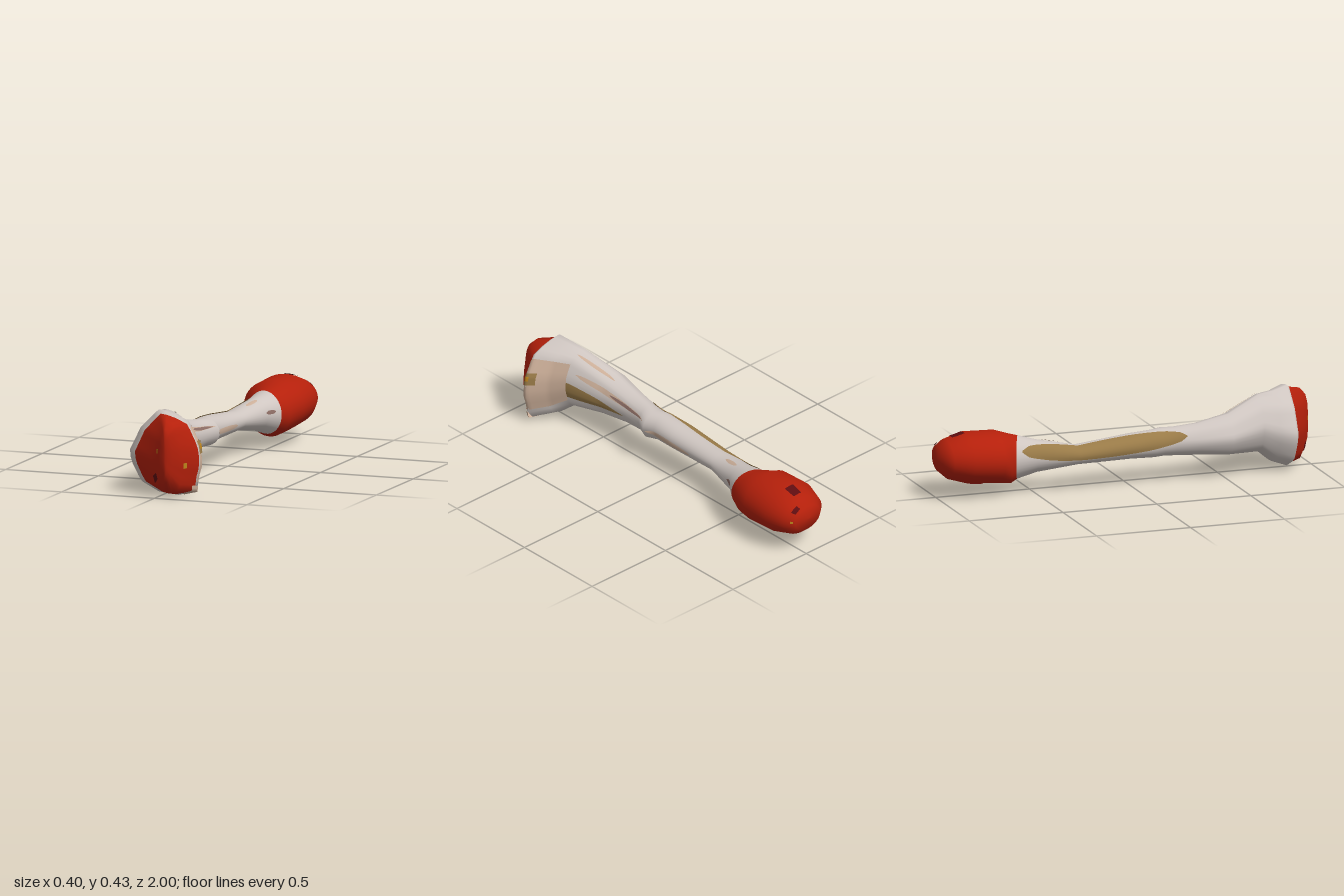
import * as THREE from 'three';

const mat = (name, color, side = THREE.FrontSide) => {
  const m = new THREE.MeshStandardMaterial({ color, side });
  m.name = name;
  return m;
};

// Cross-sections from back to front: z, xMin, xMax, yMin, yMax, slant, angular weight
const KNOB = [
  [-1, -0.02, -0.02, 0.2, 0.2, 0, 0],
  [-0.995, -0.1, 0.07, 0.14, 0.27, 0, 0],
  [-0.95, -0.15, 0.11, 0.1, 0.3, 0, 0],
  [-0.85, -0.185, 0.14, 0.07, 0.33, 0, 0],
  [-0.69, -0.185, 0.14, 0.06, 0.325, 0, 0],
  [-0.615, -0.15, 0.105, 0.05, 0.3, 0.2, 0],
  [-0.575, -0.132, 0.08, 0.07, 0.289, 0.4, 0],
];
const SHAFT = [
  KNOB[KNOB.length - 1],
  [-0.48, -0.12, 0.035, 0.1, 0.265, 0.2, 0],
  [-0.28, -0.15, -0.01, 0.132, 0.23, 0, 0],
  [0, -0.155, 0.005, 0.135, 0.26, 0, 0],
  [0.13, -0.145, 0, 0.13, 0.27, 0, 0],
  [0.18, -0.14, 0.028, 0.13, 0.272, 0, 0],
  [0.24, -0.14, 0, 0.13, 0.275, 0, 0],
  [0.36, -0.165, -0.005, 0.125, 0.29, 0, 0.4],
  [0.52, -0.2, 0.012, 0.113, 0.33, 0, 0.8],
  [0.7, -0.155, 0.07, 0.1, 0.405, 0, 0.8],
  [0.78, -0.175, 0.12, 0.035, 0.415, 0, 0.9],
  [0.86, -0.195, 0.2, 0, 0.433, 0, 1],
  [0.878, -0.16, 0.192, 0.008, 0.415, 0, 1],
];
const CAP = [
  SHAFT[SHAFT.length - 1],
  [0.95, -0.04, 0.13, 0.018, 0.395, 0, 0.8],
  [0.985, 0.015, 0.09, 0.08, 0.355, 0, 0.5],
  [0.998, 0.04, 0.07, 0.12, 0.31, 0, 0.3],
  [1, 0.055, 0.055, 0.18, 0.24, 0, 0],
];
const ALL = [...KNOB, ...SHAFT.slice(1), ...CAP.slice(1)];

// Uneven outline of the front head, turned into radius by angle
const HEAD = [
  [0.2, 0.2], [0.19, 0.265], [0.13, 0.38], [0.06, 0.41], [-0.03, 0.433], [-0.13, 0.335], [-0.195, 0.205],
  [-0.175, 0.145], [-0.13, 0.06], [-0.03, 0.01], [0.07, 0], [0.175, 0.025], [0.18, 0.09], [0.2, 0.155],
].map(([x, y]) => {
  const u = x / 0.198, v = (y - 0.2165) / 0.2165;
  return [(Math.atan2(v, u) + Math.PI * 2) % (Math.PI * 2), Math.hypot(u, v)];
}).sort((a, b) => a[0] - b[0]);

function headRadius(angle) {
  const full = Math.PI * 2;
  const a = ((angle % full) + full) % full;
  const n = HEAD.length;
  for (let i = 0; i <= n; i++) {
    const [pa, pr] = i === 0 ? [HEAD[n - 1][0] - full, HEAD[n - 1][1]] : HEAD[i - 1];
    const [qa, qr] = i === n ? [HEAD[0][0] + full, HEAD[0][1]] : HEAD[i];
    if (a >= pa && a <= qa) return pr * qr * Math.sin(qa - pa) / (pr * Math.sin(a - pa) + qr * Math.sin(qa - a));
  }
  return 1;
}

// Point on a cross-section, optionally lifted off the surface
function ringPoint([z, x0, x1, y0, y1, slant, w], a, lift = 0) {
  const r = 1 + (headRadius(a) - 1) * w;
  const dx = Math.cos(a) * (r * (x1 - x0) / 2 + lift);
  const dy = Math.sin(a) * (r * (y1 - y0) / 2 + lift);
  const dz = Math.abs(z) > 0.9 ? Math.sign(z) * lift : 0;
  return [(x0 + x1) / 2 + dx, (y0 + y1) / 2 + dy, z + slant * dx + dz];
}

function sectionAt(z) {
  const i = Math.max(1, ALL.findIndex((s) => s[0] >= z));
  const t = (z - ALL[i - 1][0]) / (ALL[i][0] - ALL[i - 1][0]);
  return ALL[i].map((v, k) => THREE.MathUtils.lerp(ALL[i - 1][k], v, t));
}

// Grid of points to an indexed surface; wrap closes it around
function surface(rows, wrap) {
  const n = rows[0].length, index = [];
  for (let i = 0; i < rows.length - 1; i++) {
    for (let j = 0; j < (wrap ? n : n - 1); j++) {
      const k = (j + 1) % n;
      const a = i * n + j, b = i * n + k, c = (i + 1) * n + k, d = (i + 1) * n + j;
      index.push(a, b, c, a, c, d);
    }
  }
  const g = new THREE.BufferGeometry();
  g.setAttribute('position', new THREE.Float32BufferAttribute(rows.flat(2), 3));
  g.setIndex(index);
  g.computeVertexNormals();
  return g;
}

function loft(sections, sides = 36) {
  return surface(sections.map((s) =>
    Array.from({ length: sides }, (_, j) => ringPoint(s, (j / sides) * Math.PI * 2))), true);
}

// Width rules along a painted patch
const even = () => 1;
const leaf = (t) => 0.05 + 0.95 * Math.sqrt(Math.sin(Math.PI * t));
const widening = (t) => 0.05 + 0.95 * Math.sin(Math.PI * t / 2);

// Thin painted patch between two z values and two angles
function patch(z0, z1, deg0, deg1, width = even, steps = 16, lift = 0.004) {
  const mid = (deg0 + deg1) / 2, half = (deg1 - deg0) / 2, rows = [];
  for (let i = 0; i <= steps; i++) {
    const t = i / steps;
    const s = sectionAt(z0 + (z1 - z0) * t);
    rows.push(Array.from({ length: 9 }, (_, j) =>
      ringPoint(s, THREE.MathUtils.degToRad(mid + half * width(t) * (j / 4 - 1)), lift)));
  }
  return surface(rows, false);
}

export function createModel() {
  const group = new THREE.Group();
  group.name = 'bone';
  const bone = mat('bone white', 0xcfc6c1);
  const red = mat('red', 0xb5200b);
  const two = THREE.DoubleSide;
  const brown = mat('brown', 0x9a7b48, two);
  const tan = mat('tan', 0xcbae98, two);
  const mauve = mat('mauve', 0x8f6f66, two);
  const dark = mat('dark red', 0x5e0d10, two);
  const orange = mat('orange', 0xbd841c, two);
  const add = (name, geometry, material) => {
    const m = new THREE.Mesh(geometry, material);
    m.name = name;
    group.add(m);
  };

  // Main body
  add('backKnob', loft(KNOB), red);
  add('shaft', loft(SHAFT), bone);
  add('frontCap', loft(CAP), red);

  // Long brown hollows on either side
  add('rightHollow', patch(-0.55, 0.29, 104, 200, leaf, 28), brown);
  add('leftHollow', patch(0.36, 0.7, -29, 3, widening), brown);

  // Tan and mauve stains
  add('headStain', patch(0.7, 0.876, -36, 42), tan);
  add('headLowerStain', patch(0.862, 0.895, -62, -40, even, 4), tan);
  add('shaftStain', patch(-0.14, 0.17, -16, 8, leaf), tan);
  add('topStain', patch(0.48, 0.7, 66, 76, leaf), tan);
  add('backStain', patch(-0.46, -0.36, 65, 82, leaf), tan);
  add('shaftStreak', patch(0.2, 0.66, 20, 36, leaf), tan);
  add('shaftDarkStreak', patch(0.22, 0.46, 22, 33, leaf, 16, 0.006), mauve);
  add('backStreak', patch(-0.53, -0.46, 5, 18, leaf), mauve);

  // Small marks
  add('knobTopMark', patch(-0.92, -0.86, 76, 96, even, 6), dark);
  add('knobBottomMark', patch(-0.83, -0.77, 262, 282, even, 6), dark);
  add('knobBackMark', patch(-0.985, -0.965, 38, 62, even, 4), dark);
  add('knobBackSpeck', patch(-0.986, -0.975, 2, 10, even, 4), orange);
  add('capMark', patch(0.95, 0.969, 213, 227, even, 4), dark);
  add('headMark', patch(0.825, 0.876, 2, 20, even, 6, 0.006), brown);
  add('headSpeck', patch(0.85, 0.872, 8, 15, even, 4, 0.008), orange);
  add('capSpeck', patch(0.932, 0.946, -16, -8, even, 4), orange);
  add('capRidgeSpeck', patch(0.979, 0.985, 166, 176, even, 4), orange);
  return group;
}
